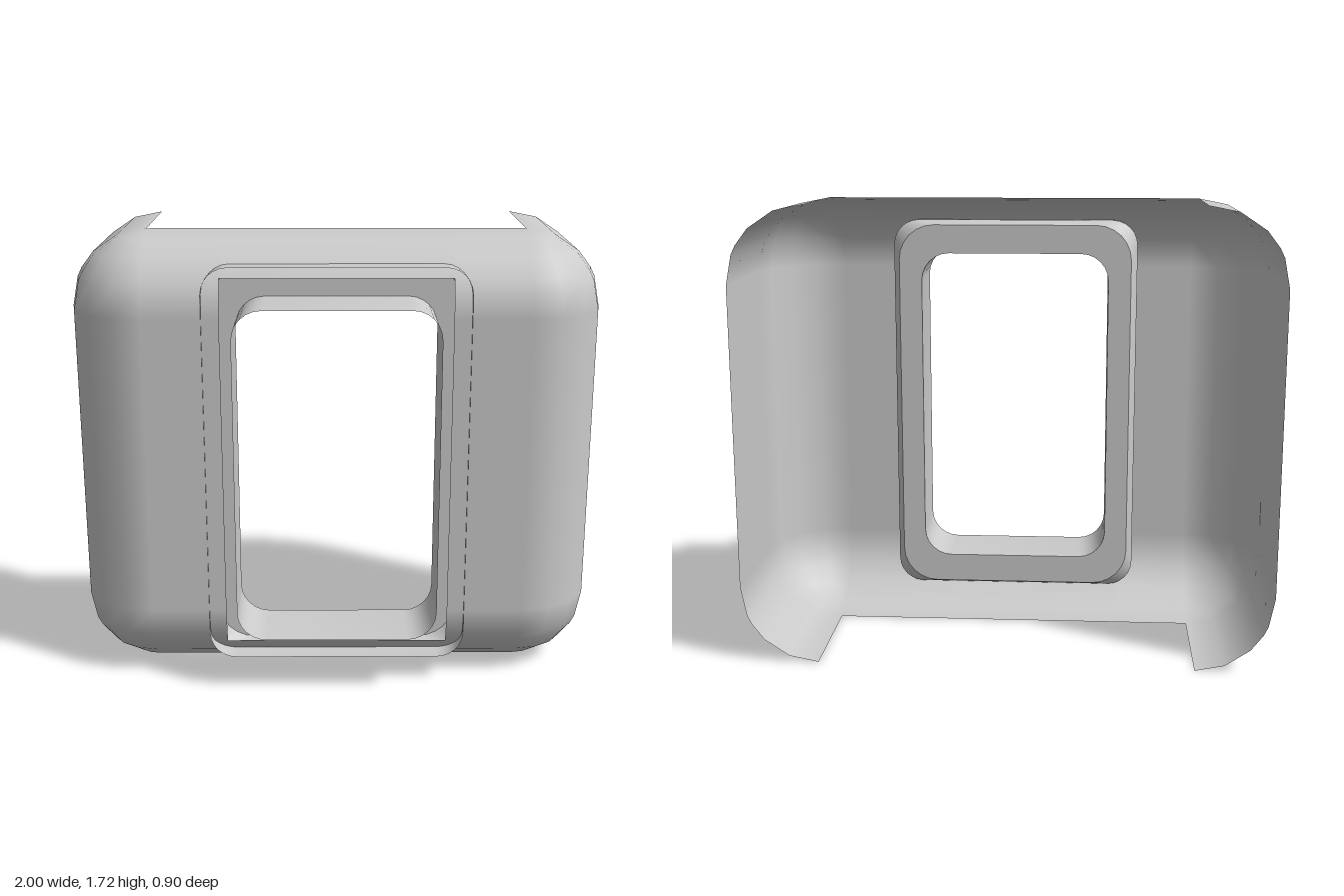
import * as THREE from 'three';
import { toCreasedNormals } from 'three/addons/utils/BufferGeometryUtils.js';

const MID_Y = 0.86;
const material = new THREE.MeshStandardMaterial({ color: 0xcccccc, side: THREE.DoubleSide });

// Quad sheet through rows of points, skipping quads for which skip(row, col) is true
function sheet(rows, skip = () => false) {
  const cols = rows[0].length, index = [];
  for (let i = 0; i < rows.length - 1; i++) {
    for (let j = 0; j < cols - 1; j++) {
      if (skip(i, j)) continue;
      const a = i * cols + j, b = a + 1, c = a + cols, d = c + 1;
      index.push(a, b, d, a, d, c);
    }
  }
  const geometry = new THREE.BufferGeometry();
  geometry.setAttribute('position', new THREE.Float32BufferAttribute(rows.flat(2), 3));
  geometry.setIndex(index);
  return geometry;
}

// Rounded shell: horizontal U sections, shrinking over the rounded top and bottom
function shellGeometry() {
  const R = 0.29, flatX = 0.71, flatY = 0.57, frontZ = 0.03, backZ = -0.45, holeX = 0.425;
  const rad = THREE.MathUtils.degToRad;
  const steps = [0, 22.5, 45, 67.5, 90];
  const half = [{ cx: flatX, phi: 0, z: backZ },
    ...steps.map((phi) => ({ cx: flatX, phi, z: frontZ })),
    { cx: holeX, phi: 90, z: frontZ }];
  const columns = [
    ...half.map((c) => ({ cx: -c.cx, phi: 180 - c.phi, z: c.z })),
    ...half.slice().reverse()];
  const tilt = [0, 22.5, 30, 45, 67.5, 90]; // 30 degrees is the edge of the opening
  const angles = [
    ...tilt.slice().reverse().map((t) => [-t, -flatY]),
    ...tilt.map((t) => [t, flatY])];
  const normals = [];
  const rows = angles.map(([t, y]) => columns.map(({ cx, phi, z }) => {
    const ct = Math.cos(rad(t)), st = Math.sin(rad(t));
    const n = [ct * Math.cos(rad(phi)), st, ct * Math.sin(rad(phi))];
    normals.push(...n);
    return [cx + R * n[0], MID_Y + y + R * n[1], z + R * n[2]];
  }));
  const lowRow = angles.findIndex(([t]) => t === -30);
  const highRow = angles.findIndex(([t]) => t === 30);
  const holeCol = half.length - 1;
  const geometry = sheet(rows, (i, j) => j === holeCol && i >= lowRow && i < highRow);
  geometry.setAttribute('normal', new THREE.Float32BufferAttribute(normals, 3));
  return geometry;
}

// Closed rounded-rectangle loop in a plane of constant z
function roundedLoop([hw, hh, r, z], segments = 6) {
  const points = [];
  [[1, 1], [-1, 1], [-1, -1], [1, -1]].forEach(([sx, sy], k) => {
    for (let s = 0; s <= segments; s++) {
      const a = (k + s / segments) * Math.PI / 2;
      points.push([sx * (hw - r) + r * Math.cos(a), MID_Y + sy * (hh - r) + r * Math.sin(a), z]);
    }
  });
  points.push(points[0]);
  return points;
}

const loft = (sections) =>
  toCreasedNormals(sheet(sections.map((s) => roundedLoop(s))), Math.PI / 6);

export function createModel() {
  const model = new THREE.Group();
  model.name = 'roundedHousing';
  const add = (name, geometry) => {
    const mesh = new THREE.Mesh(geometry, material);
    mesh.name = name;
    model.add(mesh);
  };

  add('shell', shellGeometry());

  // Recessed tray behind the opening: open front, side wall and flat back rim
  add('openingFrame', loft([
    [0.49, 0.7625, 0.1, 0.33],
    [0.49, 0.7625, 0.1, 0.22],
    [0.465, 0.745, 0.14, 0.18],
    [0.375, 0.632, 0.11, 0.18],
  ]));

  // Open tube projecting through the front
  add('openingTube', loft([
    [0.375, 0.632, 0.11, 0.18],
    [0.375, 0.632, 0.11, 0.45],
  ]));

  return model;
}
